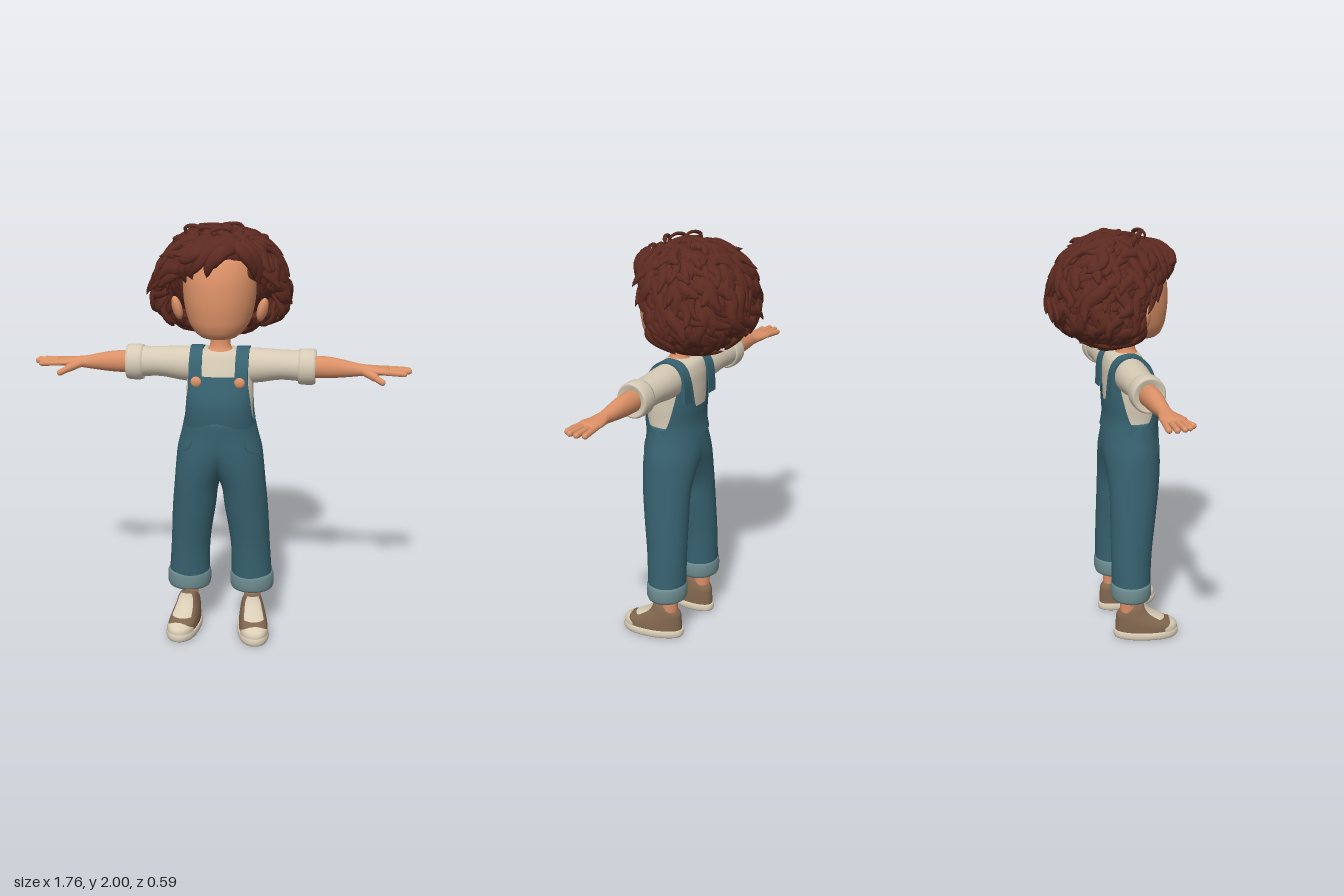
import * as THREE from 'three';
import { mergeGeometries, mergeVertices } from 'three/addons/utils/BufferGeometryUtils.js';

const V = (x, y, z) => new THREE.Vector3(x, y, z);
const mat = (name, color, side = THREE.FrontSide) => new THREE.MeshStandardMaterial({ name, color, side });
const skin = mat('skin', 0xdc9167), hairMat = mat('hair brown', 0x5c2a20);
const denim = mat('denim', 0x37626f, THREE.DoubleSide), cuffMat = mat('denim lining', 0x6d8b8f, THREE.DoubleSide);
const cloth = mat('cream cloth', 0xd6cab5, THREE.DoubleSide), rubber = mat('cream rubber', 0xd9cdb6, THREE.DoubleSide);
const canvas = mat('brown canvas', 0x81664e), copper = mat('copper', 0xdd9469);
const { clamp, smoothstep } = THREE.MathUtils;

// smooth surface from a grid rule f(u, v)
function grid(nu, nv, f) {
  const pos = [], idx = [];
  for (let j = 0; j <= nv; j++) for (let i = 0; i <= nu; i++) pos.push(...f(i / nu, j / nv).toArray());
  for (let j = 0; j < nv; j++) for (let i = 0; i < nu; i++) {
    const a = j * (nu + 1) + i, b = a + nu + 1;
    idx.push(a, a + 1, b + 1, a, b + 1, b);
  }
  let g = new THREE.BufferGeometry();
  g.setAttribute('position', new THREE.Float32BufferAttribute(pos, 3));
  g.setIndex(idx);
  g = mergeVertices(g, 1e-5);
  g.computeVertexNormals();
  return g;
}

// loft through elliptical rings [y, cx, cz, rx, rz]; can be limited to an angle and height range
function loft(rings, o = {}) {
  const { a0 = 0, a1 = Math.PI * 2, off = 0, p = 1, taper = 0, cap = true, nu = 40, nv = 28 } = o;
  const y0 = o.y0 ?? rings[0][0], yTop = rings[rings.length - 1][0], y1 = o.y1 ?? (() => yTop);
  const curve = new THREE.CubicInterpolant(rings.map(r => r[0]), rings.flatMap(r => r.slice(1)), 4, new Float32Array(4));
  const pw = v => Math.sign(v) * Math.abs(v) ** p;
  return grid(nu, nv, (u, v) => {
    const a = a0 + (a1 - a0) * u, y = y0 + (y1(a) - y0) * v;
    const [cx, cz, rx, rz] = curve.evaluate(y);
    const k = cap && (v === 0 || v === 1) ? 0 : 1;
    return V(cx + k * (rx + off) * pw(Math.sin(a)) * (1 + taper * Math.cos(a)), y, cz + k * (rz + off) * pw(Math.cos(a)));
  });
}

// rolled fabric band of unit radius, from height 0 to h
const band = (h, sx, sz, hole) => new THREE.LatheGeometry(
  [[hole, .12], [.88, 0], [.97, -.01], [1.02, .15], [1.035, .5], [1.02, .85], [.97, 1.01], [.88, 1.02], [hole, .93]]
    .map(([r, y]) => new THREE.Vector2(r, y * h)), 40).scale(sx, 1, sz);

function capsule(a, b, r) {
  const g = new THREE.CapsuleGeometry(r, a.distanceTo(b), 5, 10);
  g.applyQuaternion(new THREE.Quaternion().setFromUnitVectors(V(0, 1, 0), b.clone().sub(a).normalize()));
  const m = a.clone().add(b).multiplyScalar(.5);
  return g.translate(m.x, m.y, m.z);
}

function mirrored(g) {
  const m = g.index ? g.clone() : mergeVertices(g);
  m.scale(-1, 1, 1);
  const ix = m.index.array;
  for (let i = 0; i < ix.length; i += 3) [ix[i], ix[i + 1]] = [ix[i + 1], ix[i]];
  return m;
}

// tapered curl following a path around the head
const HEAD = V(-.01, 1.735, -.01);
function lock(pts, w) {
  const c = new THREE.CatmullRomCurve3(pts);
  return grid(8, 12, (u, v) => {
    const p = c.getPoint(v), t = c.getTangent(v), out = p.clone().sub(HEAD);
    const side = out.cross(t).normalize(), up = t.clone().cross(side).normalize();
    const r = w * Math.max(0, Math.sin(Math.PI * (.2 + .8 * v))) ** .6, a = (u % 1) * Math.PI * 2;
    return p.addScaledVector(side, r * Math.cos(a)).addScaledVector(up, .65 * r * Math.sin(a));
  });
}

function hairLocks() {
  let s = 7;
  const rnd = () => (s = (s * 16807) % 2147483647) / 2147483647;
  const crown = V(.25, .88, .35).normalize(), out = [];
  // point on the hair volume in direction d
  const hull = (d, f) => {
    const low = clamp(-d.y * 1.8, 0, 1), high = clamp(d.y, 0, 1);
    return V(d.x * .3 * (1 + .24 * low - .1 * high), d.y * .248, d.z * (d.z < 0 ? .262 * (1 + .1 * low) : .27)).multiplyScalar(f).add(HEAD);
  };
  // keeps face, ears and neck clear
  const blocked = q => q.y < 1.465 || (q.y < 1.53 && q.z > .04)
    || (q.y < 1.86 && q.z > (q.y > 1.69 ? .13 + (q.y - 1.69) * .5 : .075));
  const N = 600;
  for (let i = 0; i < N; i++) {
    const y = 1 - 2 * (i + .5) / N, r = Math.sqrt(1 - y * y), a = i * 2.39996;
    const d = V(r * Math.cos(a), y, r * Math.sin(a));
    const axis = crown.clone().cross(d).normalize();
    const len = .45 + .4 * rnd(), amp = .05 + .11 * rnd(), ph = rnd() * 6.28, lift = .87 + .13 * rnd(), flip = -.04 + .2 * rnd();
    const w = .02 + .014 * rnd(), pts = [];
    for (let k = 0; k <= 6; k++) {
      const t = k / 6;
      const e = d.clone().applyAxisAngle(axis, len * (t - .35)).addScaledVector(axis, amp * Math.sin(ph + t * 5)).normalize();
      pts.push(hull(e, .8 + (lift - .8) * Math.sin(Math.PI * Math.min(t * 1.3, .5)) + flip * t * t * (e.y > .75 ? .4 : 1)));
    }
    if (!pts.some(blocked)) out.push(lock(pts, w));
  }
  // swept fringe, parted on the left
  const fringe = [
    [[.09, 1.92, .18], [.02, 1.9, .25], [-.025, 1.85, .268], [-.04, 1.79, .258]],
    [[.08, 1.93, .17], [-.03, 1.91, .245], [-.075, 1.85, .265], [-.11, 1.8, .25]],
    [[.06, 1.94, .15], [-.06, 1.91, .22], [-.12, 1.84, .24], [-.105, 1.775, .235]],
    [[.04, 1.94, .13], [-.1, 1.9, .19], [-.155, 1.82, .205], [-.14, 1.75, .19]],
    [[.02, 1.94, .1], [-.14, 1.89, .15], [-.19, 1.8, .165], [-.175, 1.7, .155]],
    [[.08, 1.91, .19], [.03, 1.9, .25], [.005, 1.87, .27], [-.01, 1.83, .262]],
    [[-.02, 1.93, .18], [-.08, 1.9, .25], [-.13, 1.87, .25], [-.17, 1.86, .22]],
    [[.09, 1.92, .18], [.12, 1.89, .215], [.155, 1.83, .195], [.165, 1.77, .175]],
    [[.1, 1.93, .16], [.15, 1.89, .18], [.185, 1.82, .165], [.18, 1.74, .15]],
    [[.08, 1.93, .19], [.11, 1.9, .215], [.135, 1.86, .21], [.155, 1.82, .19]],
    [[.1, 1.94, .12], [.17, 1.88, .14], [.215, 1.8, .135], [.2, 1.71, .13]],
  ];
  for (const f of fringe) out.push(lock(f.map(p => V(...p)), .03));
  // loose curls on top
  for (const [x, z, h] of [[-.07, .1, 1], [.03, .12, -1], [-.01, .02, 1], [.07, -.03, -1], [-.14, .06, 1]])
    out.push(lock([V(x, 1.93, z), V(x - .02 * h, 1.975, z), V(x + .02 * h, 1.99, z + .02), V(x + .06 * h, 1.975, z + .03), V(x + .05 * h, 1.95, z + .03)], .012));
  return mergeGeometries(out);
}

export function createModel() {
  const model = new THREE.Group();
  model.name = 'curlyHairedChild';
  const add = (name, geo, m) => {
    const mesh = new THREE.Mesh(geo, m);
    mesh.name = name;
    model.add(mesh);
  };
  const pair = (name, geo, m) => {
    add('left' + name, geo, m);
    add('right' + name, mirrored(geo), m);
  };

  // head and neck
  add('head', loft([[1.487, 0, .14, .03, .028], [1.5, 0, .138, .075, .074], [1.54, 0, .12, .122, .125], [1.6, 0, .1, .15, .16],
    [1.7, 0, .09, .166, .175], [1.8, 0, .085, .16, .165], [1.88, 0, .08, .13, .13], [1.94, 0, .07, .07, .07]]), skin);
  add('neck', loft([[1.38, 0, .075, .085, .068], [1.415, 0, .075, .068, .056], [1.44, 0, .072, .05, .046], [1.48, 0, .07, .046, .043], [1.56, 0, .07, .05, .045]]), skin);
  pair('Ear', new THREE.SphereGeometry(1, 20, 14).scale(.022, .056, .032).rotateZ(-.25).rotateY(-.5).translate(.195, 1.62, .1), skin);

  // hair
  add('scalpHair', new THREE.SphereGeometry(1, 32, 20).scale(.25, .21, .2).translate(-.005, 1.74, -.05), hairMat);
  add('frontHair', new THREE.SphereGeometry(1, 24, 16).scale(.16, .08, .12).translate(0, 1.875, .1), hairMat);
  add('hairLocks', hairLocks(), hairMat);

  // shirt
  const torso = [[1.05, 0, .085, .16, .12], [1.12, 0, .095, .155, .12], [1.2, 0, .092, .157, .121], [1.3, 0, .076, .153, .108],
    [1.38, 0, .063, .148, .09], [1.42, 0, .062, .12, .07], [1.437, 0, .065, .06, .045]];
  add('shirtBody', loft(torso, { p: .88 }), cloth);
  pair('Sleeve', loft([[.08, -1.345, .06, .085, .075], [.18, -1.348, .055, .08, .078], [.28, -1.352, .05, .07, .073], [.39, -1.348, .05, .072, .072]]).rotateZ(-Math.PI / 2), cloth);
  pair('SleeveCuff', band(.076, .082, .077, .62).rotateZ(-Math.PI / 2).translate(.363, 1.346, .05), cloth);

  // arms and hands
  pair('Arm', loft([[.38, -1.345, .05, .052, .045], [.5, -1.345, .05, .05, .042], [.6, -1.34, .05, .036, .034], [.64, -1.338, .05, .029, .031],
    [.7, -1.338, .048, .022, .044], [.75, -1.338, .049, .018, .051], [.79, -1.337, .049, .012, .046]], { nu: 24 }).rotateZ(-Math.PI / 2), skin);
  const fingers = [[.012, .842, .002, 1.333], [.037, .864, .03, 1.338], [.062, .866, .062, 1.34], [.086, .843, .092, 1.335]]
    .map(([z, x, tz, y]) => capsule(V(.75, 1.338, z), V(x, y, tz), .0135));
  fingers.push(capsule(V(.66, 1.335, .065), V(.712, 1.32, .108), .019), capsule(V(.705, 1.321, .1), V(.745, 1.306, .14), .0145));
  pair('Fingers', mergeGeometries(fingers), skin);

  // overalls: legs that merge into the hips, bib with low-cut sides
  pair('TrouserLeg', loft([[.25, .155, .058, .1, .093], [.45, .146, .062, .095, .099], [.65, .126, .075, .104, .111], [.78, .109, .083, .109, .12],
    [.88, .074, .087, .135, .13], [.96, .032, .088, .168, .137], [1.03, .006, .091, .176, .135], [1.1, 0, .095, .167, .131], [1.13, 0, .095, .16, .127]], { nv: 44 }), denim);
  const edge = a => {
    const c = Math.cos(a), k = Math.min(1, Math.abs(c) / .62) ** 3.5, x = .16 * Math.abs(Math.sin(a)) ** .88;
    return c > 0 ? 1.1 + .22 * k : Math.min(1.1 + .28 * k, 1.21 + .17 * smoothstep(x, .035, .085));
  };
  add('bib', loft(torso, { p: .88, off: .011, y0: 1.06, y1: edge, cap: false, nu: 160 }), denim);
  pair('TrouserCuff', band(.08, .104, .096, .84).translate(.155, .222, .058), cuffMat);
  pair('PocketEdge', new THREE.TubeGeometry(new THREE.CatmullRomCurve3([V(.12, 1.025, .192), V(.128, .99, .194), V(.15, .962, .181), V(.188, .945, .14)]), 16, .005, 6), denim);

  // straps running over the shoulders
  const path = new THREE.SplineCurve([[.183, 1.265], [.174, 1.33], [.148, 1.39], [.1, 1.431], [.05, 1.436], [0, 1.418], [-.032, 1.36], [-.04, 1.24]]
    .map(p => new THREE.Vector2(...p))).getPoints(30);
  const mid = new THREE.Vector2(.07, 1.3);
  const inner = path.map(p => p.clone().add(mid.clone().sub(p).setLength(.02))).reverse();
  pair('Strap', new THREE.ExtrudeGeometry(new THREE.Shape([...path, ...inner]), { depth: .059, bevelEnabled: false })
    .rotateY(-Math.PI / 2).translate(.136, 0, 0), denim);
  pair('StrapButton', new THREE.SphereGeometry(.025, 20, 12).scale(1, 1, .45).translate(.1, 1.295, .184), copper);

  // ankles and shoes
  pair('Ankle', new THREE.CylinderGeometry(.045, .04, .2, 20).translate(.155, .22, .045), skin);
  const place = g => g.rotateY(.16).translate(.146, 0, 0);
  const upper = [[.03, 0, .135, .07, .153], [.07, 0, .13, .068, .147], [.1, 0, .103, .062, .118], [.13, 0, .078, .054, .088], [.16, 0, .078, .046, .058], [.187, 0, .092, .032, .03]];
  const shape = { p: .92, taper: .12 };
  pair('ShoeUpper', place(loft(upper, shape)), canvas);
  pair('ShoeSole', place(loft([[0, 0, .135, .07, .153], [.012, 0, .135, .076, .16], [.035, 0, .135, .076, .16], [.046, 0, .135, .071, .155]], { ...shape, nv: 10 })), rubber);
  pair('ToeCap', place(loft(upper, { ...shape, a0: -1, a1: 1, y0: .035, y1: a => .055 + .033 * Math.cos(a * 1.4), off: .005, cap: false, nv: 8 })), rubber);
  pair('ShoeTongue', place(loft(upper, { ...shape, a0: -.7, a1: .7, y0: .1, y1: () => .187, off: .005, cap: false, nv: 10 })), rubber);

  return model;
}
